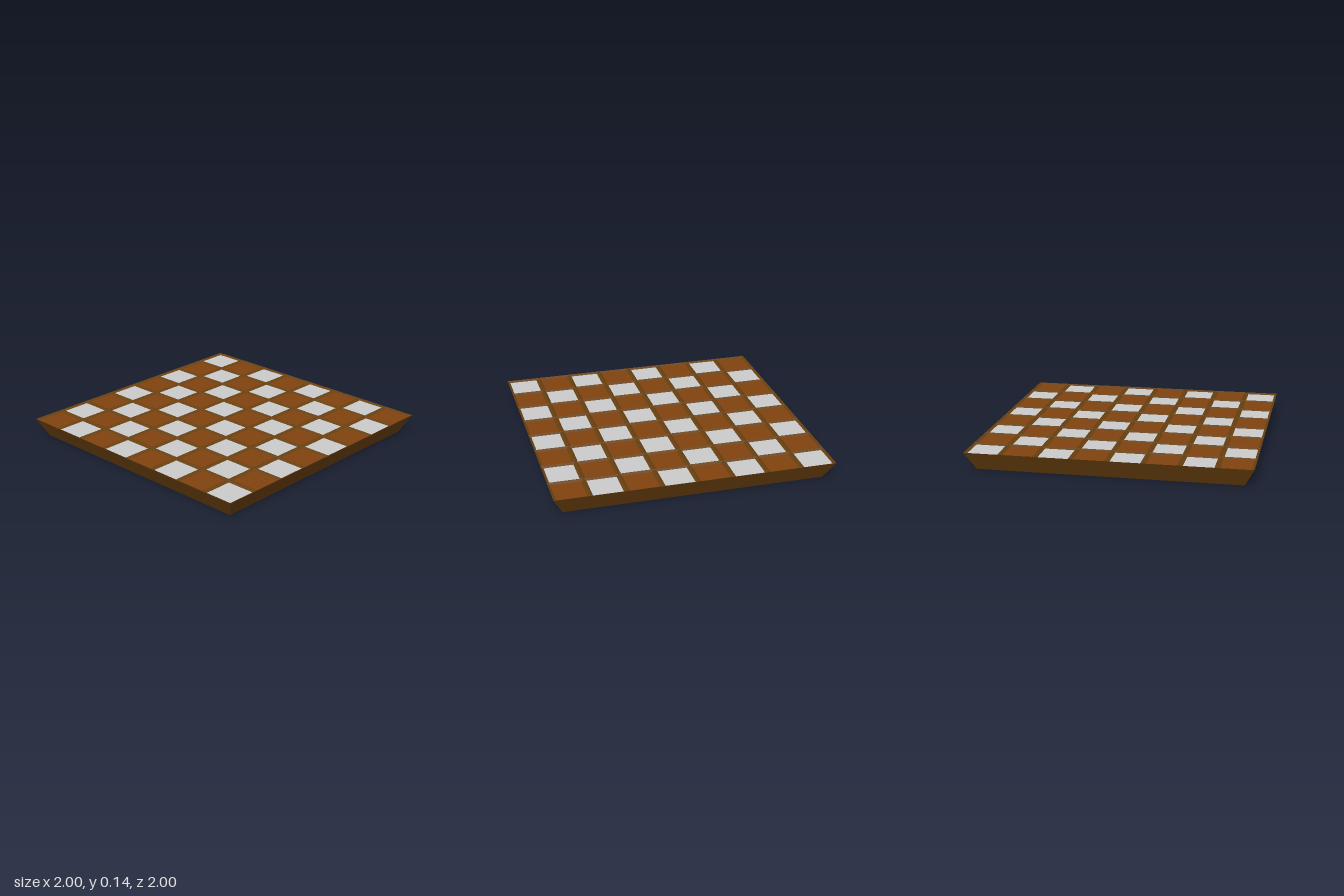
import * as THREE from 'three';

const HEIGHT = 0.135;   // board thickness
const CELL = 0.25;      // pitch of the 8 x 8 grid
const TILE = 0.211;     // visible square inside each cell
const DEPTH = 0.01;     // how far the squares are sunk

// Square-sided surface from a profile of [half width, y]
function squareProfile(profile) {
  const points = profile.map(([half, y]) => new THREE.Vector2(half * Math.SQRT2, y));
  return new THREE.LatheGeometry(points, 4, Math.PI / 4);
}

export function createModel() {
  const board = new THREE.Group();
  board.name = 'checkeredBoard';

  const frameMaterial = new THREE.MeshStandardMaterial({ color: 0x68400f, flatShading: true });
  const darkMaterial = new THREE.MeshStandardMaterial({ color: 0x81420f });
  const lightMaterial = new THREE.MeshStandardMaterial({ color: 0xcccccc });

  // Base: flat underside and sides flaring out to the top edge
  const base = new THREE.Mesh(squareProfile([[0, 0], [0.93, 0], [1, HEIGHT]]), frameMaterial);
  base.name = 'base';
  board.add(base);

  // Top: each cell has a sloped rim around a sunken square
  const rimGeometry = squareProfile([[CELL / 2, HEIGHT], [TILE / 2, HEIGHT - DEPTH]]);
  const tileGeometry = new THREE.PlaneGeometry(TILE, TILE).rotateX(-Math.PI / 2);
  tileGeometry.translate(0, HEIGHT - DEPTH, 0);

  for (let row = 0; row < 8; row++) {
    for (let col = 0; col < 8; col++) {
      const x = (col - 3.5) * CELL;
      const z = (row - 3.5) * CELL;
      const light = (row + col) % 2 === 0;

      const rim = new THREE.Mesh(rimGeometry, frameMaterial);
      rim.name = 'squareRim';
      rim.position.set(x, 0, z);

      const tile = new THREE.Mesh(tileGeometry, light ? lightMaterial : darkMaterial);
      tile.name = light ? 'lightSquare' : 'darkSquare';
      tile.position.set(x, 0, z);

      board.add(rim, tile);
    }
  }
  return board;
}
